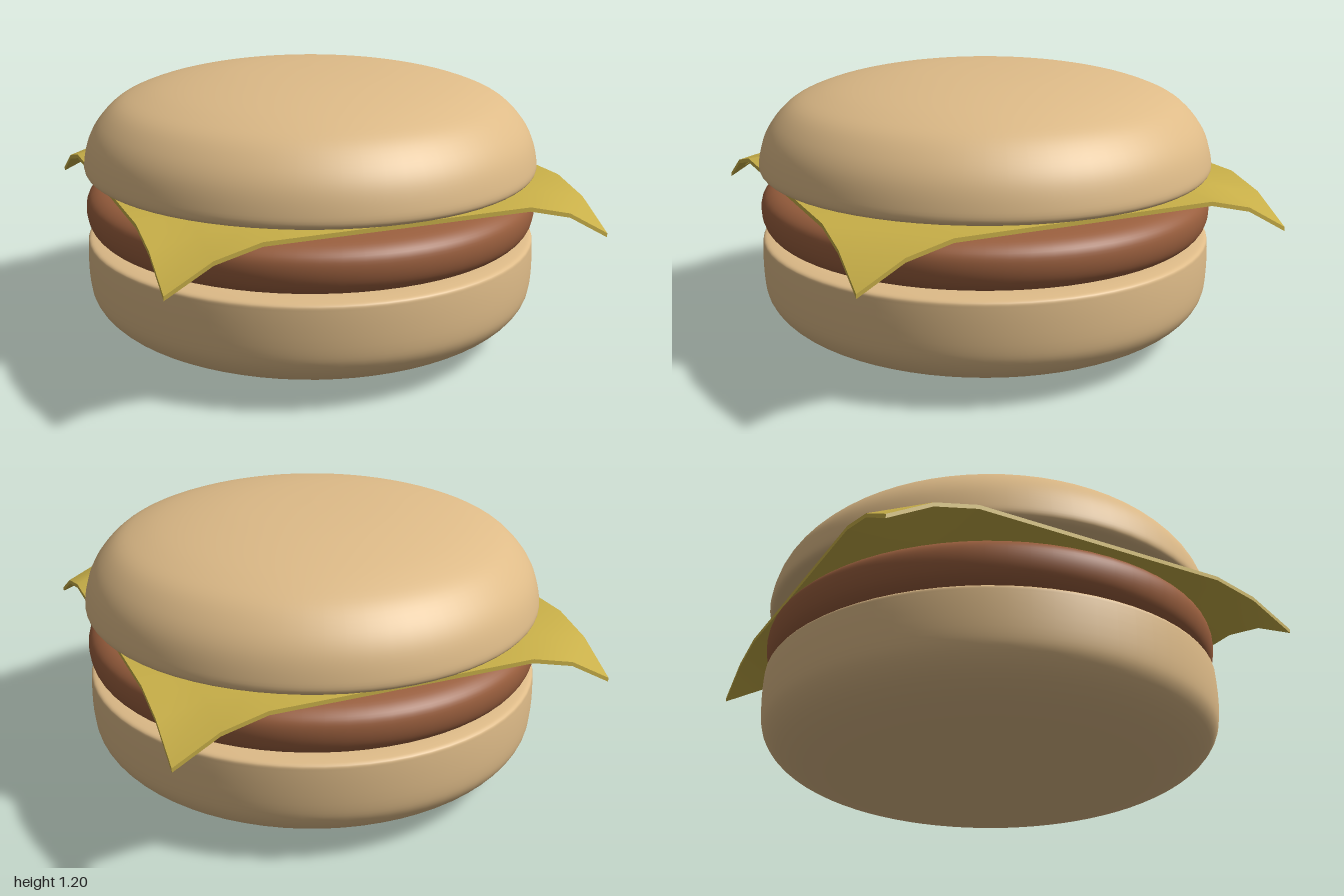
import * as THREE from 'three';

const bunMat = new THREE.MeshStandardMaterial({ color: 0xdebb88 });
const pattyMat = new THREE.MeshStandardMaterial({ color: 0x9a5f3e });
const cheeseMat = new THREE.MeshStandardMaterial({ color: 0xc8af48 });

// Round part turned from a smooth [radius, height] profile, listed bottom to top
function turned(name, profile, material) {
  const curve = new THREE.CatmullRomCurve3(
    profile.map(([r, y]) => new THREE.Vector3(r, y, 0)), false, 'centripetal');
  const points = curve.getPoints(profile.length * 4)
    .map((p) => new THREE.Vector2(Math.max(0, p.x), p.y));
  points[0].x = points[points.length - 1].x = 0;
  const mesh = new THREE.Mesh(new THREE.LatheGeometry(points, 72), material);
  mesh.name = name;
  return mesh;
}

// Thin square slice whose rim sags a little and whose corners hang down
function cheeseSlice() {
  const half = 0.94, flat = 0.564;
  const geometry = new THREE.BoxGeometry(half * 2, 0.018, half * 2, 10, 1, 10);
  const pos = geometry.attributes.position;
  const rim = (v) => THREE.MathUtils.clamp((Math.abs(v) - flat) / (half - flat), 0, 1);
  for (let i = 0; i < pos.count; i++) {
    const tx = rim(pos.getX(i)), tz = rim(pos.getZ(i));
    const sag = 0.017 * Math.max(tx, tz) + 0.155 * Math.pow(tx * tz, 1.7);
    pos.setY(i, pos.getY(i) - sag);
  }
  geometry.computeVertexNormals();
  const mesh = new THREE.Mesh(geometry, cheeseMat);
  mesh.name = 'cheeseSlice';
  mesh.position.y = 0.761;
  return mesh;
}

export function createModel() {
  const burger = new THREE.Group();
  burger.name = 'cheeseburger';

  burger.add(turned('bottomBun', [
    [0, 0], [0.2, 0.006], [0.4, 0.018], [0.6, 0.038], [0.75, 0.065], [0.86, 0.1],
    [0.94, 0.15], [0.985, 0.21], [1, 0.28], [1, 0.44], [0.995, 0.465], [0.96, 0.475],
    [0.85, 0.48], [0, 0.48],
  ], bunMat));

  const patty = turned('patty', [
    [0, 0.48], [0.75, 0.48], [0.88, 0.483], [0.95, 0.5], [0.985, 0.535], [1, 0.595],
    [0.99, 0.65], [0.95, 0.685], [0.87, 0.706], [0.75, 0.718], [0.5, 0.728], [0, 0.732],
  ], pattyMat);
  burger.add(patty);

  burger.add(cheeseSlice());

  burger.add(turned('topBun', [
    [0, 0.768], [0.8, 0.766], [0.94, 0.763], [0.985, 0.767], [1, 0.785], [0.995, 0.84],
    [0.97, 0.92], [0.925, 0.99], [0.85, 1.06], [0.74, 1.11], [0.6, 1.148], [0.4, 1.18],
    [0.2, 1.195], [0, 1.2],
  ], bunMat));

  return burger;
}
